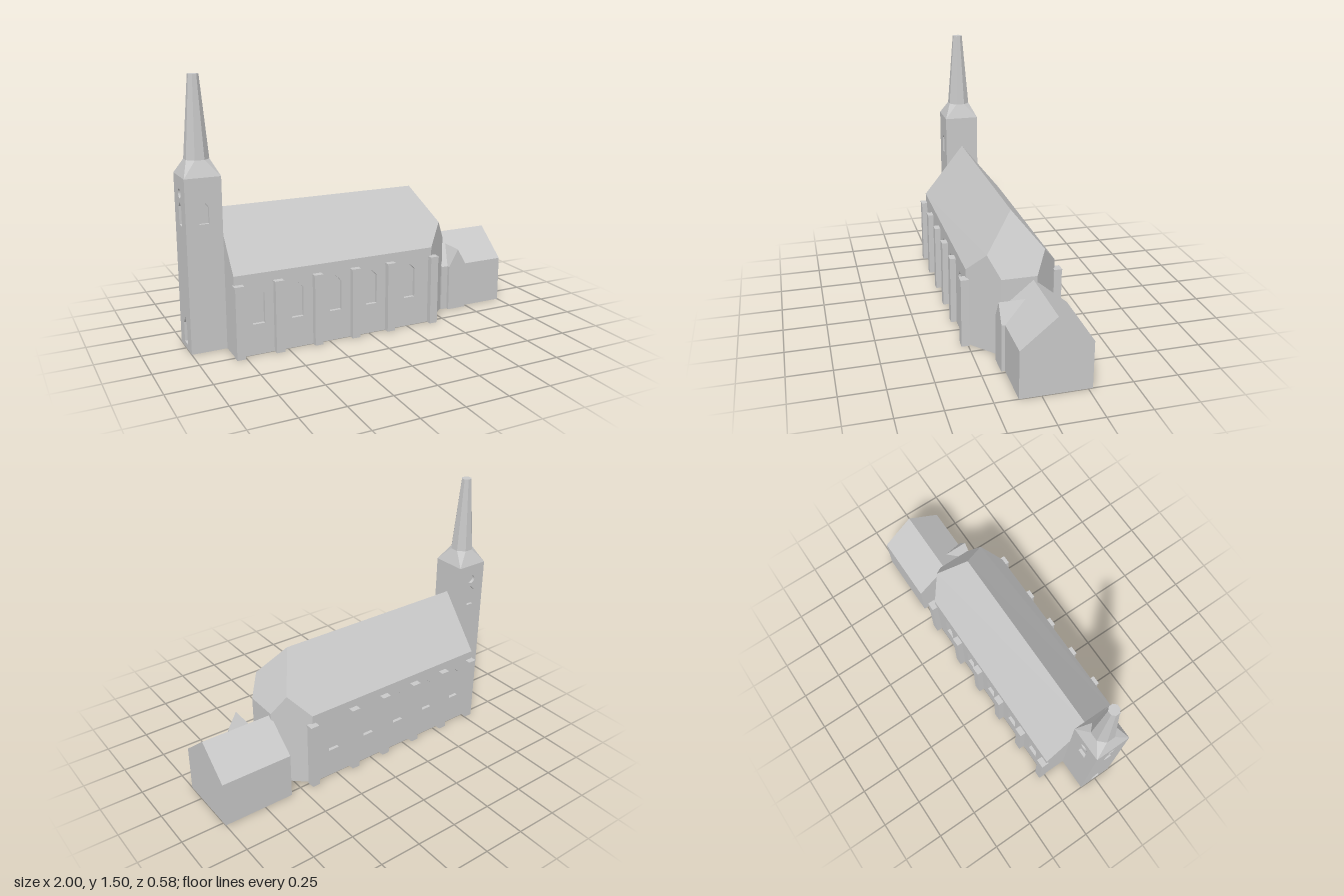
import * as THREE from 'three';

const stone = new THREE.MeshStandardMaterial({ color: 0xc8c8c8 });
stone.name = 'pale stone';

function add(parent, name, geometry, x = 0, y = 0, z = 0) {
  const mesh = new THREE.Mesh(geometry, stone);
  mesh.name = name;
  mesh.position.set(x, y, z);
  parent.add(mesh);
  return mesh;
}

// Flat-shaded surface from convex polygons, counter-clockwise from outside
function faces(polygons) {
  const p = [];
  for (const f of polygons)
    for (let i = 1; i < f.length - 1; i++) p.push(...f[0], ...f[i], ...f[i + 1]);
  const g = new THREE.BufferGeometry();
  g.setAttribute('position', new THREE.Float32BufferAttribute(p, 3));
  g.computeVertexNormals();
  return g;
}

// Same polygon reflected in z, with its winding kept outward
const mirrorZ = (f) => f.map(([x, y, z]) => [x, y, -z]).reverse();

// Pointed opening: centre, half width, sill, shoulder and apex heights
function lancet(x, w, sill, shoulder, apex) {
  return new THREE.Path([[x - w, sill], [x + w, sill], [x + w, shoulder], [x, apex], [x - w, shoulder]]
    .map(([a, b]) => new THREE.Vector2(a, b)));
}

function roundel(x, y, r) {
  const path = new THREE.Path();
  path.absarc(x, y, r, 0, Math.PI * 2, true);
  return path;
}

// Wall slab with openings, outer face towards +z
function wall(x0, x1, height, depth, holes) {
  const s = new THREE.Shape([[x0, 0], [x1, 0], [x1, height], [x0, height]].map(([a, b]) => new THREE.Vector2(a, b)));
  s.holes.push(...holes);
  return new THREE.ExtrudeGeometry(s, { depth, bevelEnabled: false, curveSegments: 12 });
}

// Prism of a house-shaped outline, extruded along z
function house(x0, x1, xRidge, eave, ridge, depth) {
  const s = new THREE.Shape([[x0, 0], [x1, 0], [x1, eave], [xRidge, ridge], [x0, eave]]
    .map(([a, b]) => new THREE.Vector2(a, b)));
  return new THREE.ExtrudeGeometry(s, { depth, bevelEnabled: false });
}

function buildNave() {
  const nave = new THREE.Group();
  nave.name = 'nave';
  const W = 0.255, E = 0.46, R = 0.78, x0 = -0.8, x1 = 0.41, x2 = 0.585, a = 0.1;
  const peak = [0.515, 0.579, 0.162], apex = [0.4, R, 0];

  // Pitched roof and the sloping end above the apse
  const slope = [[x0, E, W], [x1, E, W], peak, apex, [x0, R, 0]];
  const peakBack = [peak[0], peak[1], -peak[2]];
  add(nave, 'roof', faces([slope, mirrorZ(slope), [apex, peak, [x2, E, a], [x2, E, -a], peakBack]]));

  // Apse: two gabled diagonal walls and a straight end
  const diagonal = [[x1, 0, W], [x2, 0, a], [x2, E, a], peak, [x1, E, W]];
  add(nave, 'apseWalls', faces([diagonal, mirrorZ(diagonal),
    [[x2, 0, a], [x2, 0, -a], [x2, E, -a], [x2, E, a]]]));

  // West gable and floor
  add(nave, 'westGable', faces([[[x0, 0, -W], [x0, 0, W], [x0, E, W], [x0, R, 0], [x0, E, -W]]]));
  add(nave, 'floor', faces([[[x0, 0, -W], [x1, 0, -W], [x2, 0, -a], [x2, 0, a], [x1, 0, W], [x0, 0, W]]]));

  // Side walls with recessed windows, and buttresses
  const windows = [-0.665, -0.44, -0.21, 0.015, 0.265];
  const buttresses = [-0.78, -0.555, -0.325, -0.095, 0.13, 0.415];
  const t = 0.02;
  for (const side of [1, -1]) {
    const tag = side > 0 ? 'front' : 'back';
    const holes = windows.map((x) => lancet(x * side, 0.035, 0.175, 0.345, 0.38));
    const ends = side > 0 ? [x0, x1] : [-x1, -x0];
    const m = add(nave, tag + 'Wall', wall(ends[0], ends[1], E, t, holes), 0, 0, side * (W - t));
    if (side < 0) m.rotation.y = Math.PI;
    for (const x of buttresses) {
      add(nave, tag + 'Buttress', new THREE.BoxGeometry(0.048, 0.4, 0.045), x, 0.2, side * 0.2665);
      add(nave, tag + 'ButtressCap', new THREE.BoxGeometry(0.054, 0.01, 0.046), x, 0.405, side * 0.267);
    }
  }
  add(nave, 'windowBacking', new THREE.BoxGeometry(1.18, 0.44, 2 * (W - t)), -0.2, 0.225, 0);
  return nave;
}

function buildTower() {
  const tower = new THREE.Group();
  tower.name = 'tower';
  tower.position.x = -0.9;
  const hx = 0.1, hz = 0.105, H = 0.97, t = 0.018;

  // Walls around a solid core, with openings on three sides
  add(tower, 'towerCore', new THREE.BoxGeometry(2 * (hx - t), H, 2 * (hz - t)), 0, H / 2, 0);
  const belfry = () => lancet(0, 0.027, 0.72, 0.81, 0.84);
  const belfryLow = () => lancet(0, 0.026, 0.7, 0.8, 0.83);
  const eye = () => roundel(0, 0.875, 0.026);
  add(tower, 'frontTowerWall', wall(-hx, hx, H, t, [belfry()]), 0, 0, hz - t);
  add(tower, 'backTowerWall', wall(-hx, hx, H, t, [belfryLow(), eye()]), 0, 0, t - hz).rotation.y = Math.PI;
  const inner = hz - t;
  add(tower, 'westTowerWall', wall(-inner, inner, H, t,
    [belfryLow(), eye(), lancet(0, 0.03, 0.03, 0.14, 0.18)]), t - hx, 0, 0).rotation.y = -Math.PI / 2;
  add(tower, 'eastTowerWall', wall(-inner, inner, H, t, []), hx - t, 0, 0).rotation.y = Math.PI / 2;

  // Broach: square base turning into an octagon
  const yo = 1.055, r = 0.0685;
  const oct = (i) => {
    const q = (i + 0.5) * Math.PI / 4;
    return [Math.cos(q) * r, yo, -Math.sin(q) * r];
  };
  const corners = [[hx, H, -hz], [-hx, H, -hz], [-hx, H, hz], [hx, H, hz]];
  const polys = [];
  for (let i = 0; i < 4; i++) {
    const c = corners[i], n = corners[(i + 1) % 4];
    polys.push([c, oct(2 * i + 1), oct(2 * i)]);
    polys.push([c, n, oct(2 * i + 2), oct(2 * i + 1)]);
  }
  add(tower, 'broach', faces(polys));

  // Tapering eight-sided spire with a blunt top
  const spire = new THREE.CylinderGeometry(0.03, r, 1.5 - yo, 8).toNonIndexed();
  spire.computeVertexNormals();
  add(tower, 'spire', spire, 0, (1.5 + yo) / 2, 0).rotation.y = Math.PI / 8;
  return tower;
}

function buildAnnex() {
  const annex = new THREE.Group();
  annex.name = 'annex';
  // Gabled block running along x; its outline is drawn against -z
  add(annex, 'vestry', house(-0.12, 0.275, 0.078, 0.275, 0.44, 0.425), 0.575, 0, 0).rotation.y = Math.PI / 2;
  // Gabled porch on the front
  add(annex, 'porch', house(0.615, 0.735, 0.675, 0.275, 0.38, 0.145), 0, 0, -0.005);
  return annex;
}

export function createModel() {
  const church = new THREE.Group();
  church.name = 'church';
  church.add(buildNave(), buildTower(), buildAnnex());
  return church;
}
